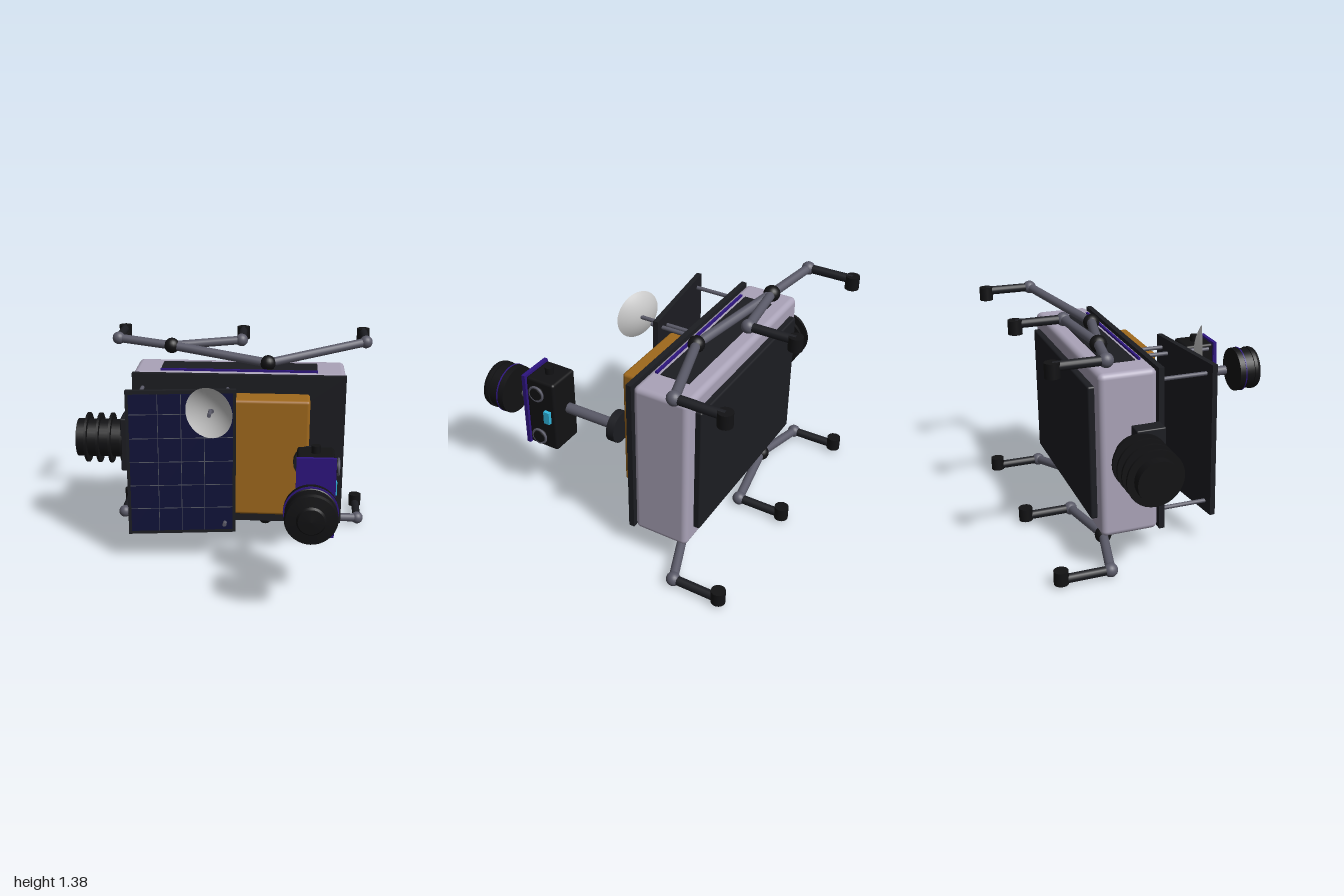
import * as THREE from 'three';
import { RoundedBoxGeometry } from 'three/addons/geometries/RoundedBoxGeometry.js';

const mat = (color, side = THREE.FrontSide) => new THREE.MeshStandardMaterial({ color, side });
const M = {
  hull: mat(0xaaa3b8), dark: mat(0x1c1d22), black: mat(0x121214), gold: mat(0xa0691c),
  violet: mat(0x2e1580), strut: mat(0x5a5a68), cell: mat(0x0f1138), line: mat(0x50535f),
  white: mat(0xd8d8d8, THREE.DoubleSide), cyan: mat(0x30b8e0),
};
const MID_Y = 0.705;

export function createModel() {
  const root = new THREE.Group();

  const add = (parent, name, geo, m, x = 0, y = 0, z = 0) => {
    const mesh = new THREE.Mesh(geo, m);
    mesh.name = name;
    mesh.position.set(x, y, z);
    parent.add(mesh);
    return mesh;
  };
  // Box given by its minimum and maximum corners, optionally rounded
  const box = (parent, name, m, [x0, y0, z0], [x1, y1, z1], r = 0) => {
    const s = [x1 - x0, y1 - y0, z1 - z0];
    const geo = r ? new RoundedBoxGeometry(...s, 3, r) : new THREE.BoxGeometry(...s);
    return add(parent, name, geo, m, (x0 + x1) / 2, (y0 + y1) / 2, (z0 + z1) / 2);
  };
  // Cylinder running between two points
  const rod = (parent, name, m, a, b, r, seg = 16) => {
    const p = new THREE.Vector3(...a), q = new THREE.Vector3(...b);
    const d = q.clone().sub(p);
    const mesh = add(parent, name, new THREE.CylinderGeometry(r, r, d.length(), seg), m);
    mesh.position.copy(p).add(q).multiplyScalar(0.5);
    mesh.quaternion.setFromUnitVectors(new THREE.Vector3(0, 1, 0), d.normalize());
    return mesh;
  };
  const group = (name) => {
    const g = new THREE.Group();
    g.name = name;
    root.add(g);
    return g;
  };

  // Main body with front and back plates
  const body = group('body');
  box(body, 'hull', M.hull, [-0.59, 0.19, -0.61], [0.81, 1.215, -0.257], 0.035);
  box(body, 'backPanel', M.dark, [-0.5, 0.28, -0.65], [0.72, 1.12, -0.6], 0.012);
  box(body, 'frontPlate', M.dark, [-0.59, 0.187, -0.25], [0.81, 1.215, -0.215]);
  box(body, 'plateSpacer', M.dark, [-0.45, 0.33, -0.26], [0.67, 1.08, -0.25]);
  box(body, 'goldModule', M.gold, [0.02, 0.308, -0.218], [0.577, 1.098, -0.038], 0.02);

  // Side barrel with rings and its mounting block
  const barrel = group('sideBarrel');
  rod(barrel, 'barrelCore', M.black, [-1, 0.7, -0.4], [-0.58, 0.7, -0.4], 0.13, 32);
  for (let i = 0; i < 4; i++) {
    const x = -0.93 + i * 0.082;
    rod(barrel, 'barrelRing', M.black, [x - 0.008, 0.7, -0.4], [x + 0.008, 0.7, -0.4], 0.172, 32);
  }
  box(barrel, 'barrelMount', M.dark, [-0.685, 0.518, -0.42], [-0.58, 0.887, -0.24], 0.008);

  // Tilted solar panel on four standoffs
  const solar = group('solarPanel');
  solar.position.set(-0.24, MID_Y - 0.003, 0.064);
  solar.rotation.y = 0.118;
  box(solar, 'panelFrame', M.dark, [-0.35, -0.488, -0.02], [0.35, 0.488, 0.014]);
  box(solar, 'panelCells', M.cell, [-0.33, -0.465, 0.01], [0.33, 0.465, 0.019]);
  for (let i = -1; i <= 1; i++)
    box(solar, 'cellLine', M.line, [i * 0.148 - 0.002, -0.465, 0.016], [i * 0.148 + 0.002, 0.465, 0.022]);
  for (let i = -2; i <= 2; i++) {
    const y = 0.014 + i * 0.16;
    box(solar, 'cellLine', M.line, [-0.33, y - 0.002, 0.016], [0.33, y + 0.002, 0.022]);
  }
  for (const y of [0.285, 1.12]) {
    rod(root, 'standoff', M.strut, [-0.52, y, -0.22], [-0.52, y, 0.08], 0.013, 12);
    rod(root, 'standoff', M.strut, [0.04, y, -0.22], [0.04, y, 0.09], 0.013, 12);
  }

  // Dish antenna with boom and feed
  const bowl = [];
  for (let i = 0; i <= 10; i++) bowl.push(new THREE.Vector2(0.16 * i / 10, 0.048 * (i / 10) ** 2 - 0.048));
  const dishGeo = new THREE.LatheGeometry(bowl, 32).rotateX(Math.PI / 2);
  const dish = add(root, 'dish', dishGeo, M.white, -0.048, 1.1, 0.248);
  dish.rotation.y = -0.37;
  rod(root, 'dishBoom', M.strut, [-0.03, 1.1, -0.22], [-0.03, 1.1, 0.21], 0.013, 12);
  rod(root, 'dishFeed', M.strut, [-0.042, 1.1, 0.2], [-0.042, 1.1, 0.3], 0.012, 12);

  // Forward mast carrying the sensor head
  const mx = 0.577, my = MID_Y;
  const mast = group('sensorMast');
  rod(mast, 'mastBase', M.dark, [mx, my, -0.028], [mx, my, 0.025], 0.1, 24);
  rod(mast, 'mastPole', M.strut, [mx, my, 0], [mx, my, 0.71], 0.034, 20);
  box(mast, 'sensorHead', M.black, [0.495, 0.458, 0.368], [0.717, 0.945, 0.575], 0.018);
  box(mast, 'sensorFace', M.violet, [0.49, 0.452, 0.575], [0.724, 0.952, 0.6]);
  rod(mast, 'headPivot', M.black, [0.605, 0.41, 0.475], [0.605, 0.99, 0.475], 0.028);
  for (const y of [0.545, 0.862]) {
    rod(mast, 'sideLens', M.black, [0.7, y, 0.485], [0.75, y, 0.485], 0.04, 20);
    const ring = add(mast, 'sideLensRing', new THREE.TorusGeometry(0.048, 0.008, 8, 28), M.strut, 0.74, y, 0.485);
    ring.rotation.y = Math.PI / 2;
  }
  box(mast, 'statusLight', M.cyan, [0.71, 0.66, 0.4], [0.74, 0.745, 0.442]);

  // Large front lens, a turned profile floating ahead of the mast
  const lens = group('frontLens');
  lens.position.set(mx, 0.703, 0);
  const profile = [[0, 0.765], [0.156, 0.765], [0.157, 0.808], [0.145, 0.82], [0.145, 0.88],
    [0.153, 0.88], [0.153, 0.905], [0.145, 0.925], [0.085, 0.932], [0.075, 0.946], [0, 0.952]];
  // Doubled points keep the edges of the turned profile crisp
  const lensPts = profile.flatMap(([r, z]) => [new THREE.Vector2(r, z), new THREE.Vector2(r, z + 1e-5)]);
  add(lens, 'lensBarrel', new THREE.LatheGeometry(lensPts, 40).rotateX(Math.PI / 2), M.black);
  rod(lens, 'lensBand', M.violet, [0, 0, 0.806], [0, 0, 0.815], 0.159, 40);

  // Leg assemblies, mirrored above and below the body
  const A = [0.297, 1.257, -0.374], B = [-0.36, 1.325, -0.535];
  const ends = [[0.953, A], [0.11, B], [-0.735, B]];
  for (const s of [1, -1]) {
    const legs = group(s > 0 ? 'upperLegs' : 'lowerLegs');
    const f = ([x, y, z]) => [x, MID_Y + s * (y - MID_Y), z];
    const slab = (name, m, x0, x1, y0, y1, z0, z1) => {
      const [, a] = f([0, y0, 0]), [, b] = f([0, y1, 0]);
      box(legs, name, m, [x0, Math.min(a, b), z0], [x1, Math.max(a, b), z1]);
    };
    slab('sidePanel', M.dark, -0.41, 0.625, 1.2, 1.221, -0.515, -0.33);
    slab('sideStrip', M.violet, -0.41, 0.625, 1.2, 1.228, -0.311, -0.295);
    rod(legs, 'legStrut', M.strut, f(A), f(B), 0.03);
    for (const joint of [A, B])
      add(legs, 'legJoint', new THREE.SphereGeometry(0.052, 20, 14), M.black, ...f(joint));
    for (const [x, from] of ends) {
      const knee = [x, 1.353, -0.61], foot = [x, 1.353, -0.91];
      rod(legs, 'legStrut', M.strut, f(from), f(knee), 0.029);
      add(legs, 'knee', new THREE.SphereGeometry(0.043, 20, 14), M.strut, ...f(knee));
      rod(legs, 'lowerLeg', M.dark, f(knee), f(foot), 0.028);
      rod(legs, 'foot', M.black, f([x, 1.292, -0.91]), f([x, 1.378, -0.91]), 0.044, 20);
    }
  }
  return root;
}
